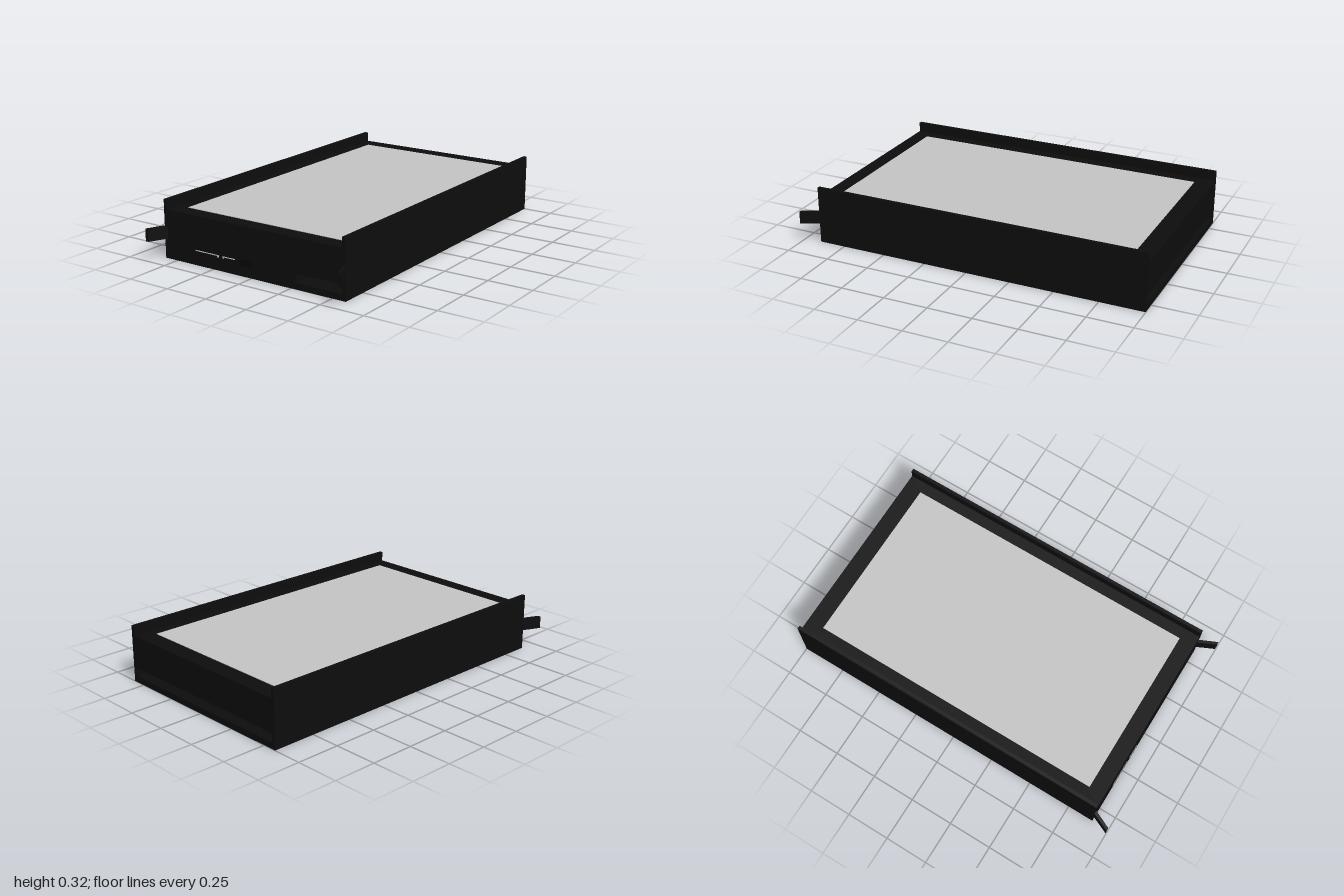
import * as THREE from 'three';

export function createModel() {
  const group = new THREE.Group();
  const mat = (name, color) => {
    const m = new THREE.MeshStandardMaterial({ color });
    m.name = name;
    return m;
  };
  const black = mat('black casing', 0x0d0d0d);
  const darker = mat('dark port', 0x060606);
  const silver = mat('silver panel', 0xc4c4c4);

  // Box given by its minimum and maximum corners
  function box(name, material, [x0, y0, z0], [x1, y1, z1]) {
    const mesh = new THREE.Mesh(new THREE.BoxGeometry(x1 - x0, y1 - y0, z1 - z0), material);
    mesh.position.set((x0 + x1) / 2, (y0 + y1) / 2, (z0 + z1) / 2);
    mesh.name = name;
    group.add(mesh);
    return mesh;
  }

  // Tray floor, raised main body, and the slot running between them
  box('trayFloor', black, [-0.56, 0, -1], [0.56, 0.035, 0.9]);
  box('mainBody', black, [-0.56, 0.085, -1], [0.56, 0.27, 0.9]);
  box('connectorBlock', black, [-0.56, 0.035, 0.5], [0.28, 0.085, 0.9]);

  // Light cover inset in the black rim
  box('topPanel', silver, [-0.49, 0.268, -0.9], [0.495, 0.273, 0.81]);

  // Side rails and splayed front ears
  for (const s of [-1, 1]) {
    const side = s > 0 ? 'left' : 'right';
    box(side + 'Rail', black, [s > 0 ? 0.56 : -0.58, 0, -1], [s > 0 ? 0.58 : -0.56, 0.325, 0.9]);

    const plan = new THREE.Shape();
    plan.moveTo(s * 0.56, -0.9);
    plan.lineTo(s * 0.58, -0.9);
    plan.lineTo(s * 0.625, -1);
    plan.lineTo(s * 0.607, -1);
    plan.closePath();
    const earGeo = new THREE.ExtrudeGeometry(plan, { depth: 0.07, bevelEnabled: false });
    earGeo.rotateX(-Math.PI / 2);
    const ear = new THREE.Mesh(earGeo, black);
    ear.position.y = 0.11;
    ear.name = side + 'FrontEar';
    group.add(ear);
  }

  // Connector contacts and small port on the front
  const contacts = [
    [-0.37, -0.212, 0.079, 0.084],
    [-0.221, -0.212, 0.072, 0.079],
    [-0.186, -0.105, 0.079, 0.084],
    [-0.186, -0.177, 0.072, 0.079],
  ];
  contacts.forEach(([x0, x1, y0, y1], i) =>
    box('contact' + (i + 1), silver, [x0, y0, 0.898], [x1, y1, 0.902]));
  box('smallPort', darker, [-0.07, 0.06, 0.898], [0, 0.09, 0.902]);

  return group;
}
